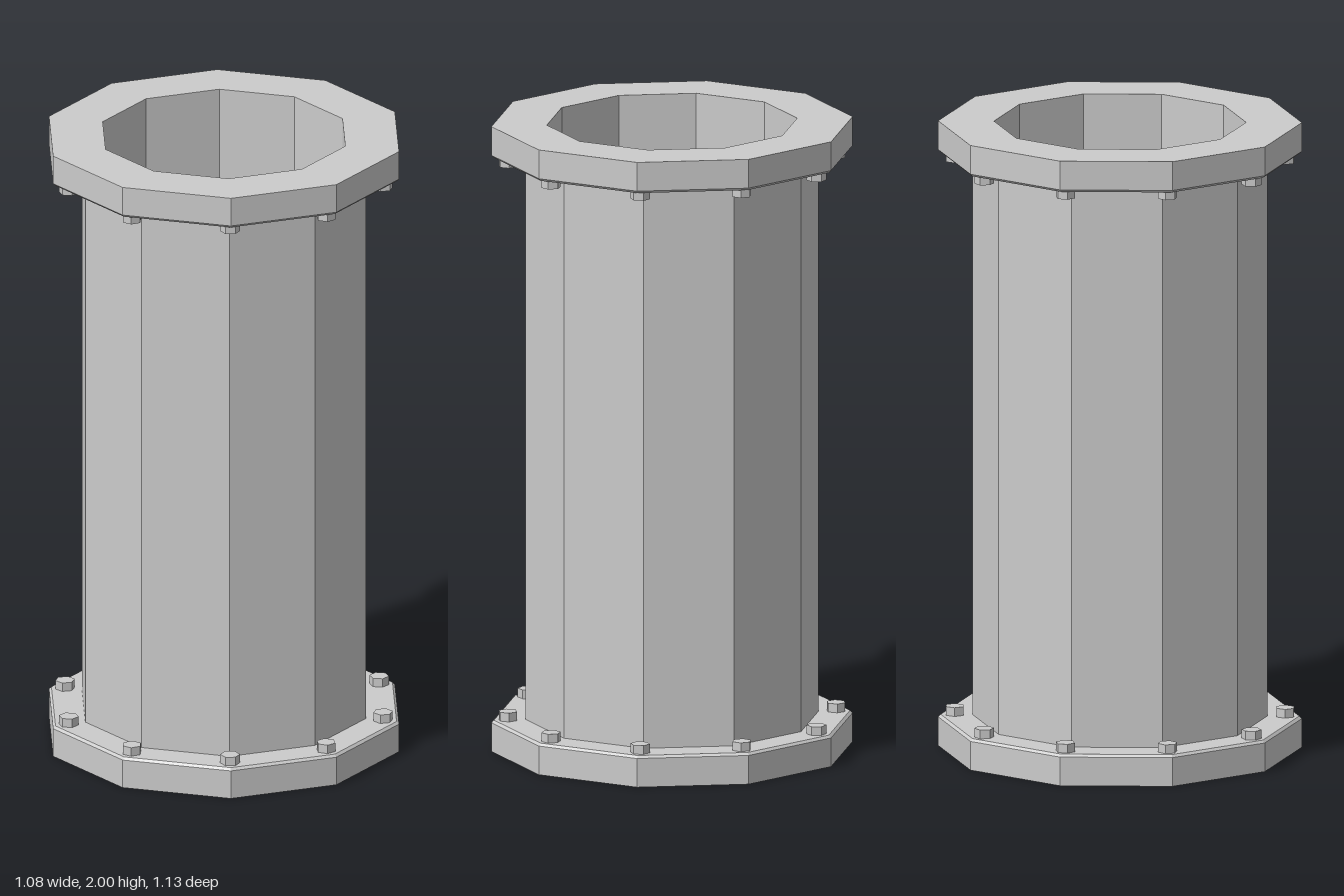
import * as THREE from 'three';

const SIDES = 10;
const BORE = 0.393, PIPE = 0.46, FLANGE = 0.567, BOLT_CIRCLE = 0.515;
const HEIGHT = 2, THICK = 0.1, BEVEL = 0.008;

const material = new THREE.MeshStandardMaterial({ color: 0xcccccc, flatShading: true });

function mesh(name, geometry) {
  const m = new THREE.Mesh(geometry, material);
  m.name = name;
  return m;
}

// Ten-sided ring from [radius, height] pairs
function ring(name, profile) {
  const points = profile.map(([r, y]) => new THREE.Vector2(r, y));
  return mesh(name, new THREE.LatheGeometry(points, SIDES));
}

// Flange resting on y = 0 with its bolt heads on the upper face
function makeFlange(name) {
  const flange = new THREE.Group();
  flange.name = name;
  flange.add(ring(name + 'Plate', [
    [BORE, 0], [FLANGE, 0], [FLANGE, THICK - BEVEL], [FLANGE - BEVEL, THICK], [PIPE - 0.02, THICK],
  ]));

  // One hexagonal bolt head at each corner
  const head = new THREE.CylinderGeometry(0.031, 0.031, 0.035, 6);
  head.rotateY(Math.PI / 6);
  for (let i = 0; i < SIDES; i++) {
    const a = (i / SIDES) * Math.PI * 2;
    const bolt = mesh(name + 'Bolt' + (i + 1), head);
    bolt.position.set(Math.sin(a) * BOLT_CIRCLE, THICK + 0.0105, Math.cos(a) * BOLT_CIRCLE);
    bolt.rotation.y = a;
    flange.add(bolt);
  }
  return flange;
}

export function createModel() {
  const model = new THREE.Group();
  model.name = 'flangedPipe';

  // Hollow pipe, its ends tucked inside the flanges
  model.add(ring('pipe', [
    [BORE, 0], [PIPE, THICK / 2], [PIPE, HEIGHT - THICK / 2], [BORE, HEIGHT], [BORE, 0],
  ]));

  // Matching flanges, the top one turned over
  model.add(makeFlange('bottomFlange'));
  const top = makeFlange('topFlange');
  top.rotation.x = Math.PI;
  top.position.y = HEIGHT;
  model.add(top);

  return model;
}
